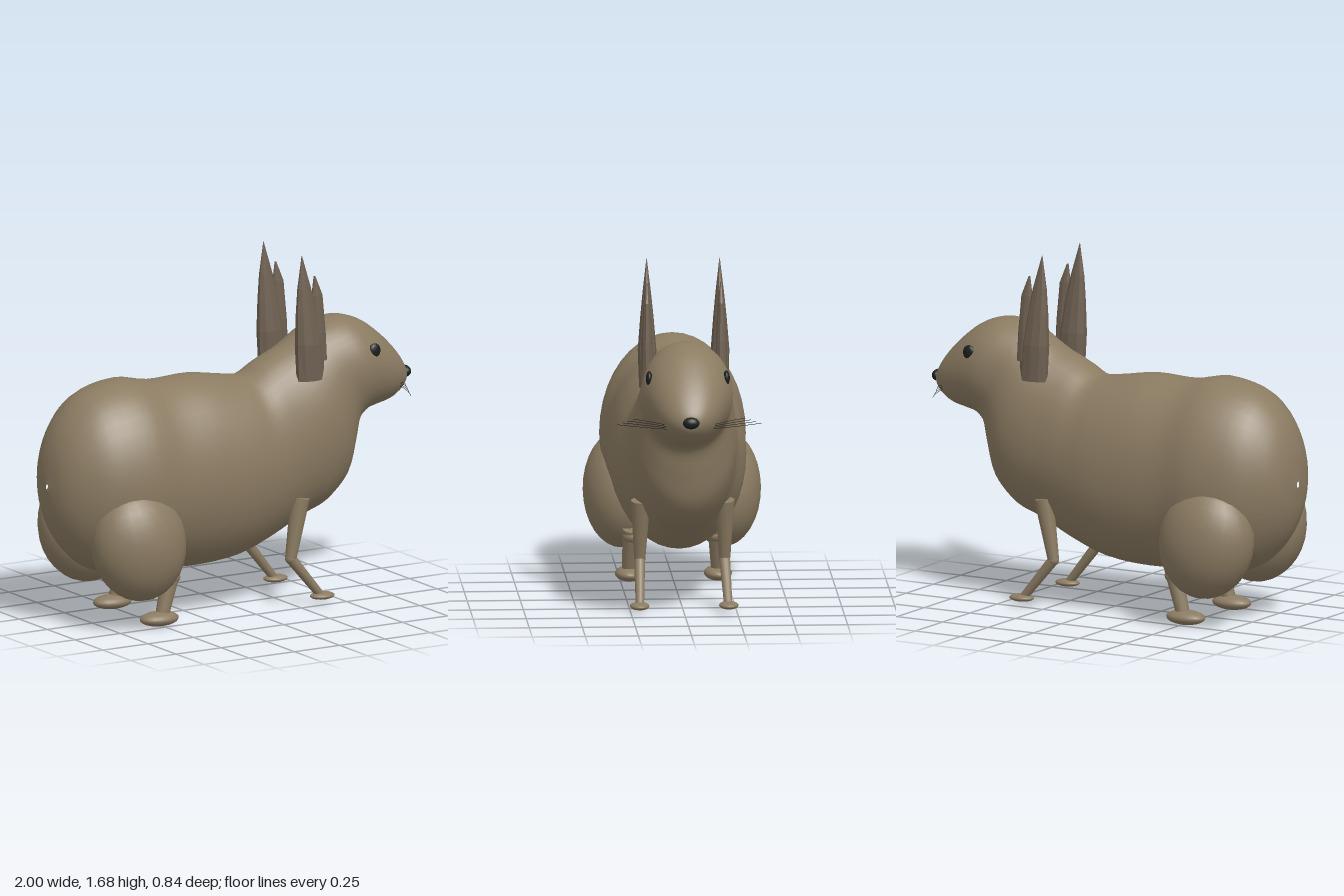
import * as THREE from 'three';

const FUR = 0x8b7b62, EAR = 0x6f6152, DARK = 0x1c1f1f;
const V = (x, y, z) => new THREE.Vector3(x, y, z);
const mat = (color, flatShading = false) => new THREE.MeshStandardMaterial({ color, flatShading });

function add(parent, name, geometry, material) {
  const mesh = new THREE.Mesh(geometry, material);
  mesh.name = name;
  parent.add(mesh);
  return mesh;
}

// Skin over elliptical rings, each with a centre c and two half axes u, v
function loft(rings, sides) {
  const pos = [], idx = [];
  for (const { c, u, v } of rings)
    for (let j = 0; j < sides; j++) {
      const a = (j / sides) * Math.PI * 2;
      const p = c.clone().addScaledVector(u, Math.cos(a)).addScaledVector(v, Math.sin(a));
      pos.push(p.x, p.y, p.z);
    }
  for (let i = 0; i < rings.length - 1; i++)
    for (let j = 0; j < sides; j++) {
      const a = i * sides + j, b = i * sides + ((j + 1) % sides);
      idx.push(a, b, a + sides, b, b + sides, a + sides);
    }
  const g = new THREE.BufferGeometry();
  g.setAttribute('position', new THREE.Float32BufferAttribute(pos, 3));
  g.setIndex(idx);
  g.computeVertexNormals();
  return g;
}

// Torso, neck and head in one skin: back point, belly point, half width
function bodyGeometry() {
  const sections = [
    [-1, 0.7, -1, 0.67, 0.01], [-0.98, 0.86, -0.98, 0.53, 0.12], [-0.92, 1.0, -0.92, 0.4, 0.21],
    [-0.8, 1.115, -0.8, 0.28, 0.3], [-0.6, 1.165, -0.6, 0.225, 0.345], [-0.42, 1.135, -0.42, 0.23, 0.325],
    [-0.2, 1.14, -0.22, 0.22, 0.325], [0, 1.11, 0, 0.24, 0.31], [0.08, 1.105, 0.2, 0.31, 0.28],
    [0.16, 1.15, 0.36, 0.385, 0.258], [0.22, 1.18, 0.5, 0.44, 0.25], [0.28, 1.205, 0.61, 0.55, 0.245],
    [0.34, 1.24, 0.655, 0.7, 0.23], [0.43, 1.295, 0.68, 0.81, 0.215], [0.58, 1.33, 0.72, 0.855, 0.215],
    [0.7, 1.3, 0.78, 0.872, 0.19], [0.8, 1.23, 0.86, 0.89, 0.155], [0.89, 1.14, 0.92, 0.925, 0.11],
    [0.95, 1.055, 0.955, 0.965, 0.055], [0.965, 1.015, 0.965, 1.005, 0.005],
  ];
  const back = new THREE.CatmullRomCurve3(sections.map(s => V(s[0], s[1], s[4])));
  const belly = new THREE.CatmullRomCurve3(sections.map(s => V(s[2], s[3], 0)));
  const rings = [], steps = 76;
  for (let i = 0; i <= steps; i++) {
    const t = back.getPoint(i / steps), b = belly.getPoint(i / steps), w = t.z;
    t.z = b.z = 0;
    rings.push({
      c: t.clone().add(b).multiplyScalar(0.5),
      u: t.clone().sub(b).multiplyScalar(0.5),
      v: V(0, 0, w),
    });
  }
  return loft(rings, 40);
}

// Ear blade: rows of y, centre x, half depth in x, half thickness in z
const blade = (rows, z) =>
  loft(rows.map(([y, x, rx, rz]) => ({ c: V(x, y, z), u: V(0, 0, rz), v: V(rx, 0, 0) })), 10);

// Tapered limb from a to b
function limb(parent, name, a, b, ra, rb, material) {
  const dir = b.clone().sub(a);
  const m = add(parent, name, new THREE.CylinderGeometry(rb, ra, dir.length(), 14), material);
  m.position.copy(a).addScaledVector(dir, 0.5);
  m.quaternion.setFromUnitVectors(V(0, 1, 0), dir.normalize());
}

function ellipsoid(parent, name, c, r, material, seg = 20) {
  const m = add(parent, name, new THREE.SphereGeometry(1, seg, Math.ceil(seg * 0.7)), material);
  m.position.copy(c);
  m.scale.copy(r);
  return m;
}

export function createModel() {
  const root = new THREE.Group();
  root.name = 'rabbit';
  const fur = mat(FUR), ear = mat(EAR, true), dark = mat(DARK);

  add(root, 'body', bodyGeometry(), fur);
  ellipsoid(root, 'nose', V(0.974, 1.008, 0), V(0.026, 0.028, 0.039), dark);

  for (const s of [1, -1]) {
    const side = new THREE.Group();
    side.name = s > 0 ? 'rightSide' : 'leftSide';
    root.add(side);

    // Ears: tall rear blade and a shorter front blade
    add(side, 'outerEar', blade([
      [1.075, 0.35, 0, 0], [1.075, 0.35, 0.075, 0.038], [1.25, 0.338, 0.072, 0.044],
      [1.4, 0.325, 0.055, 0.032], [1.52, 0.313, 0.036, 0.02], [1.68, 0.3, 0.001, 0.001],
    ], s * 0.172), ear);
    add(side, 'innerEar', blade([
      [1.165, 0.4, 0, 0], [1.165, 0.4, 0.034, 0.026], [1.3, 0.392, 0.035, 0.026],
      [1.48, 0.382, 0.029, 0.016], [1.575, 0.368, 0.004, 0.004],
    ], s * 0.175), ear);

    ellipsoid(side, 'eye', V(0.695, 1.175, s * 0.182), V(0.032, 0.035, 0.016), dark);

    // Whiskers sweeping out and back from the muzzle
    for (let i = 0; i < 4; i++) {
      const curve = new THREE.QuadraticBezierCurve3(
        V(0.885, 0.965 + i * 0.006, s * 0.1),
        V(0.86, 0.97 + i * 0.012, s * 0.22),
        V(0.8 + i * 0.004, 0.975 + i * 0.009, s * (0.34 - i * 0.025)));
      add(side, 'whisker', new THREE.TubeGeometry(curve, 8, 0.0012, 4), dark);
    }

    // Hind leg
    const thigh = ellipsoid(side, 'thigh', V(-0.643, 0.418, s * 0.24), V(0.238, 0.278, 0.18), fur, 22);
    thigh.rotation.z = 0.25;
    limb(side, 'hindShin', V(-0.435, 0.26, s * 0.2), V(-0.495, 0.05, s * 0.21), 0.044, 0.033, fur);
    ellipsoid(side, 'hindKnee', V(-0.44, 0.225, s * 0.2), V(0.045, 0.035, 0.045), fur, 14);
    ellipsoid(side, 'hindFoot', V(-0.51, 0.035, s * 0.21), V(0.1, 0.035, 0.066), fur);

    // Front leg
    limb(side, 'upperForeleg', V(0.275, 0.52, s * 0.198), V(0.222, 0.235, s * 0.2), 0.046, 0.027, fur);
    ellipsoid(side, 'foreKnee', V(0.222, 0.232, s * 0.2), V(0.027, 0.027, 0.027), fur, 12);
    limb(side, 'lowerForeleg', V(0.222, 0.232, s * 0.2), V(0.38, 0.04, s * 0.208), 0.026, 0.02, fur);
    ellipsoid(side, 'forePaw', V(0.39, 0.036, s * 0.21), V(0.062, 0.018, 0.046), fur);
  }
  return root;
}
